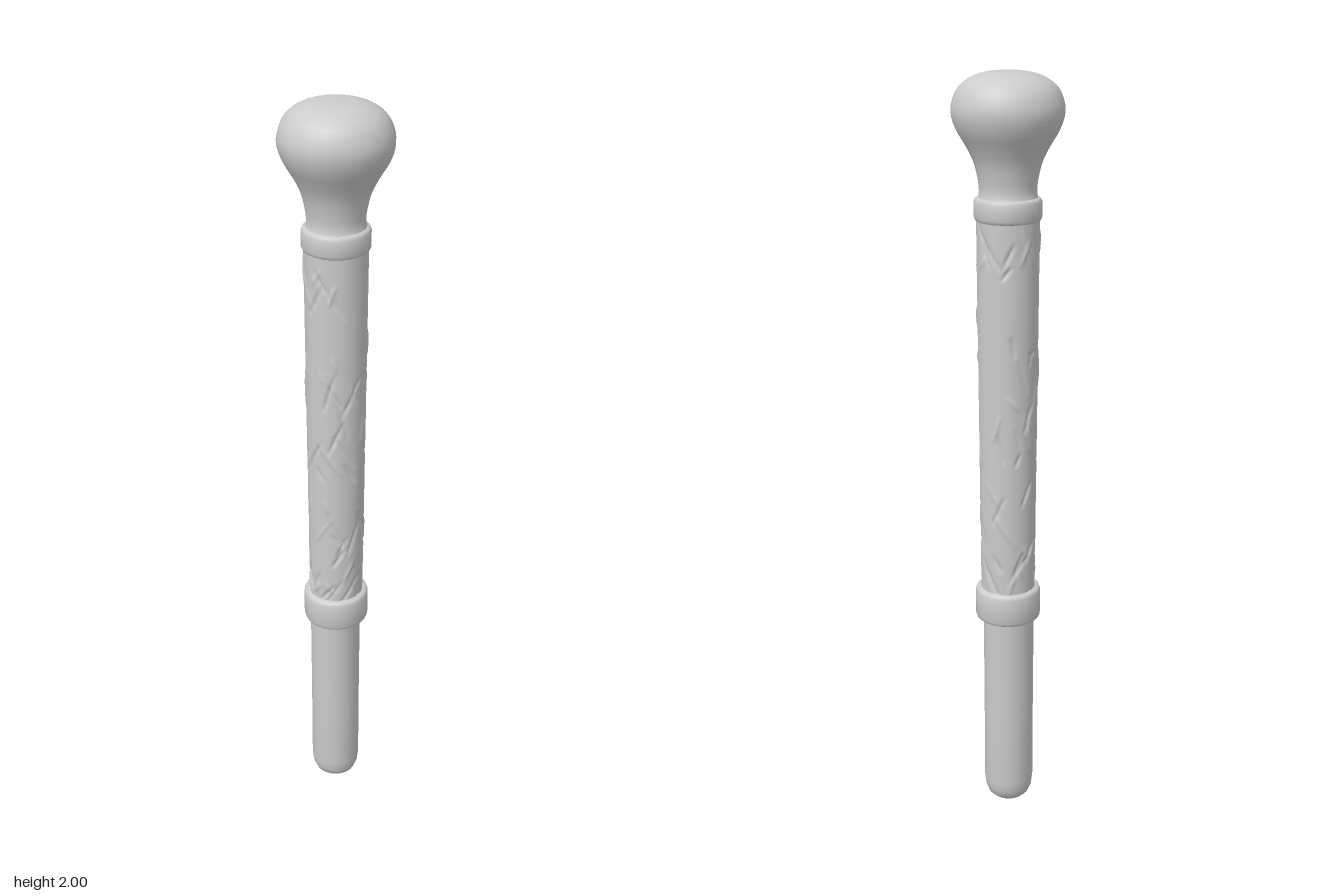
import * as THREE from 'three';
import { toCreasedNormals } from 'three/addons/utils/BufferGeometryUtils.js';

const material = new THREE.MeshStandardMaterial({ color: 0xcccccc });

// Surface of revolution from [radius, height] pairs, bottom to top
function turned(name, profile, crease = 0.6, sides = 24) {
  const points = profile.map(([r, y]) => new THREE.Vector2(r, y));
  const mesh = new THREE.Mesh(toCreasedNormals(new THREE.LatheGeometry(points, sides), crease), material);
  mesh.name = name;
  return mesh;
}

// Band with softened edges
function collar(name, y0, y1, r, inner) {
  const b = 0.01;
  return turned(name, [
    [inner, y0], [r - b, y0], [r - b * 0.3, y0 + b * 0.4], [r, y0 + b * 1.2],
    [r, y1 - b * 1.2], [r - b * 0.3, y1 - b * 0.4], [r - b, y1], [inner, y1],
  ], 0.7);
}

function seeded(seed) {
  return () => (seed = (seed * 16807) % 2147483647) / 2147483647;
}

// Slim carved strokes on the grip: most near its foot, some under the top collar
function makeStrokes(count) {
  const rand = seeded(4217);
  return Array.from({ length: count }, (_, i) => {
    const nearTop = i % 5 === 0;
    const slant = (rand() < 0.5 ? -1 : 1) * (0.15 + rand() * 0.5);
    return {
      angle: rand() * Math.PI * 2,
      y: nearTop ? 1.62 - rand() * 0.1 : 0.67 + Math.pow(rand(), 1.6) * 0.75,
      sin: Math.sin(slant), cos: Math.cos(slant),
      half: 0.02 + rand() * 0.05,
      depth: (rand() < 0.65 ? -1 : 0.7) * (0.003 + rand() * 0.003),
    };
  });
}

function makeGrip() {
  const y0 = 0.64, y1 = 1.65;
  const radiusAt = (y) => THREE.MathUtils.mapLinear(y, y0, y1, 0.0715, 0.079);
  const geometry = new THREE.CylinderGeometry(1, 1, y1 - y0, 96, 220, true);
  geometry.translate(0, (y0 + y1) / 2, 0);
  const strokes = makeStrokes(110);
  const pos = geometry.attributes.position;
  for (let i = 0; i < pos.count; i++) {
    const y = pos.getY(i), angle = Math.atan2(pos.getX(i), pos.getZ(i));
    let r = radiusAt(y);
    let offset = 0;
    for (const s of strokes) {
      const dy = y - s.y;
      if (Math.abs(dy) > 0.09) continue;
      const turn = Math.atan2(Math.sin(angle - s.angle), Math.cos(angle - s.angle));
      const dx = turn * r;
      const along = (dx * s.sin + dy * s.cos) / s.half;
      const across = (dx * s.cos - dy * s.sin) / 0.0045;
      if (Math.abs(along) < 1) offset += s.depth * (1 - along * along) * Math.exp(-across * across);
    }
    r += THREE.MathUtils.clamp(offset, -0.005, 0.004);
    pos.setXYZ(i, Math.sin(angle) * r, y, Math.cos(angle) * r);
  }
  geometry.computeVertexNormals();
  const mesh = new THREE.Mesh(geometry, material);
  mesh.name = 'carvedGrip';
  return mesh;
}

export function createModel() {
  const group = new THREE.Group();
  group.name = 'knobbedHandle';

  // Plain lower shaft with a rounded foot
  const shaft = turned('lowerShaft', [
    [0, 0], [0.022, 0.002], [0.042, 0.009], [0.056, 0.022], [0.064, 0.042],
    [0.067, 0.07], [0.067, 0.3], [0.068, 0.6],
  ], 0.9);
  shaft.position.x = -0.002;

  // Bulbous knob, flaring from its neck, slightly narrower in depth
  const profile = new THREE.SplineCurve([
    [0.078, 1.69], [0.072, 1.71], [0.074, 1.74], [0.085, 1.785], [0.105, 1.825], [0.126, 1.86],
    [0.138, 1.895], [0.137, 1.925], [0.122, 1.96], [0.092, 1.984], [0.05, 1.997], [0, 2],
  ].map(([r, y]) => new THREE.Vector2(r, y))).getPoints(30);
  const knob = turned('knob', profile.map((p) => [Math.max(p.x, 0), Math.min(p.y, 2)]), 1.0);
  knob.scale.z = 0.967;

  group.add(
    shaft,
    collar('lowerCollar', 0.565, 0.656, 0.087, 0.06),
    makeGrip(),
    collar('upperCollar', 1.64, 1.7, 0.085, 0.06),
    knob,
  );
  return group;
}
